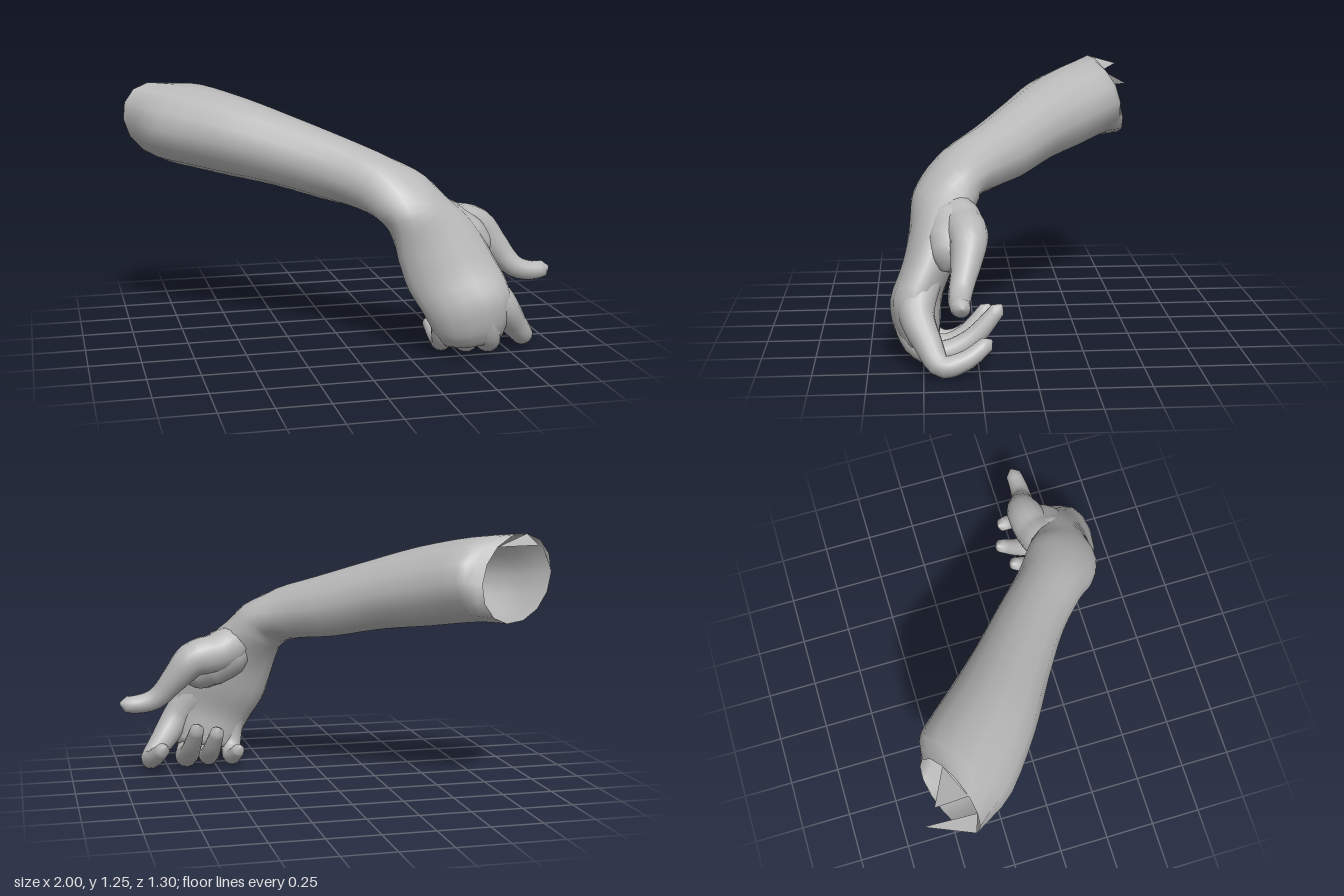
import * as THREE from 'three';

const V = (x, y, z) => new THREE.Vector3(x, y, z);
const SIDES = 14;

// Skin a list of oval cross-sections {c, u, v}; the far end is closed.
function loft(rings) {
  const pos = [], idx = [];
  for (const { c, u, v } of rings) {
    for (let i = 0; i < SIDES; i++) {
      const a = (i / SIDES) * Math.PI * 2, cs = Math.cos(a), sn = Math.sin(a);
      pos.push(c.x + u.x * cs + v.x * sn, c.y + u.y * cs + v.y * sn, c.z + u.z * cs + v.z * sn);
    }
  }
  for (let k = 0; k < rings.length - 1; k++) {
    for (let i = 0; i < SIDES; i++) {
      const j = (i + 1) % SIDES, a = k * SIDES, b = a + SIDES;
      idx.push(a + i, a + j, b + i, a + j, b + j, b + i);
    }
  }
  const end = rings[rings.length - 1].c, last = (rings.length - 1) * SIDES;
  pos.push(end.x, end.y, end.z);
  for (let i = 0; i < SIDES; i++) idx.push(last + i, last + ((i + 1) % SIDES), last + SIDES);
  const g = new THREE.BufferGeometry();
  g.setAttribute('position', new THREE.Float32BufferAttribute(pos, 3));
  g.setIndex(idx);
  g.computeVertexNormals();
  return g;
}

// Tapered finger along a curve, with a rounded tip.
function finger(points, radii) {
  const curve = new THREE.CatmullRomCurve3(points.map(p => V(...p)));
  const n = 26, frames = curve.computeFrenetFrames(n), len = curve.getLength();
  const tip = 1 - radii[radii.length - 1] / len;
  const rings = [];
  for (let k = 0; k <= n; k++) {
    const t = k / n, f = t * (radii.length - 1), i = Math.min(Math.floor(f), radii.length - 2);
    let r = THREE.MathUtils.lerp(radii[i], radii[i + 1], f - i);
    if (t > tip) r *= Math.sqrt(Math.max(0.04, 1 - ((t - tip) / (1 - tip)) ** 2));
    rings.push({
      c: curve.getPointAt(t),
      u: frames.normals[k].clone().multiplyScalar(r),
      v: frames.binormals[k].clone().multiplyScalar(r),
    });
  }
  return loft(rings);
}

// Cross-sections from the open end to the knuckles: centre, thumb-side axis, upper axis.
const SECTIONS = [
  [-0.80, 1.04, -0.50, 0.20, -0.02, -0.07, -0.03, 0.205, 0.06],
  [-0.67, 1.03, -0.385, 0.19, 0, -0.16, 0.02, 0.205, 0.02],
  [-0.46, 0.985, -0.205, 0.15, 0, -0.165, 0.02, 0.195, 0.03],
  [-0.25, 0.93, -0.045, 0.12, 0, -0.145, 0.03, 0.17, 0.03],
  [-0.03, 0.86, 0.12, 0.105, 0, -0.13, 0.04, 0.15, 0.04],
  [0.13, 0.81, 0.265, 0.105, 0.02, -0.125, 0.04, 0.125, 0.06],
  [0.235, 0.755, 0.355, 0.13, 0.05, -0.12, 0.045, 0.085, 0.085],
  [0.30, 0.685, 0.395, 0.145, 0.06, -0.085, 0.03, 0.045, 0.13],
  [0.38, 0.56, 0.435, 0.19, 0.08, -0.03, 0, 0.03, 0.12],
  [0.45, 0.40, 0.48, 0.21, 0.07, 0, 0, 0.02, 0.115],
  [0.515, 0.27, 0.53, 0.20, 0.07, 0.01, 0.01, 0, 0.12],
  [0.54, 0.165, 0.525, 0.18, 0.05, 0.01, 0.01, -0.02, 0.108],
  [0.55, 0.085, 0.505, 0.15, 0.02, 0.01, 0, -0.02, 0.08],
];

const FINGERS = {
  thumb: [[[0.33, 0.70, 0.37], [0.50, 0.61, 0.315], [0.63, 0.585, 0.29], [0.72, 0.49, 0.305],
    [0.82, 0.38, 0.335], [0.92, 0.355, 0.34], [1.0, 0.365, 0.33]], [0.07, 0.105, 0.10, 0.08, 0.06, 0.05, 0.04]],
  thumbMuscle: [[[0.33, 0.68, 0.39], [0.45, 0.60, 0.365], [0.56, 0.53, 0.37], [0.64, 0.44, 0.40]],
    [0.07, 0.13, 0.12, 0.07]],
  indexFinger: [[[0.57, 0.38, 0.49], [0.67, 0.26, 0.53], [0.765, 0.14, 0.48], [0.84, 0.055, 0.42],
    [0.835, 0.075, 0.32], [0.79, 0.155, 0.195]], [0.08, 0.085, 0.07, 0.053, 0.045, 0.035]],
  middleFinger: [[[0.55, 0.34, 0.52], [0.58, 0.21, 0.56], [0.62, 0.09, 0.52], [0.655, 0.055, 0.42],
    [0.65, 0.11, 0.29], [0.63, 0.27, 0.14]], [0.075, 0.08, 0.065, 0.055, 0.045, 0.033]],
  ringFinger: [[[0.46, 0.32, 0.51], [0.48, 0.19, 0.535], [0.52, 0.08, 0.50], [0.54, 0.055, 0.41],
    [0.54, 0.10, 0.31], [0.52, 0.24, 0.19]], [0.075, 0.07, 0.06, 0.05, 0.043, 0.033]],
  littleFinger: [[[0.38, 0.32, 0.48], [0.40, 0.20, 0.50], [0.41, 0.09, 0.475], [0.42, 0.05, 0.42],
    [0.42, 0.055, 0.35], [0.40, 0.12, 0.25]], [0.07, 0.065, 0.055, 0.046, 0.04, 0.03]],
};

export function createModel() {
  const group = new THREE.Group();
  const skin = new THREE.MeshStandardMaterial({ color: 0xb8b8b8, side: THREE.DoubleSide });
  skin.name = 'grey skin';
  const add = (name, geometry) => {
    const mesh = new THREE.Mesh(geometry, skin);
    mesh.name = name;
    group.add(mesh);
  };

  // Forearm, wrist and palm as one smooth skin
  const lane = o => new THREE.CatmullRomCurve3(SECTIONS.map(s => V(s[o], s[o + 1], s[o + 2])));
  const [centres, us, vs] = [0, 3, 6].map(lane);
  const steps = (SECTIONS.length - 1) * 3;
  const rings = [];
  for (let k = 0; k <= steps; k++) {
    rings.push({ c: centres.getPoint(k / steps), u: us.getPoint(k / steps), v: vs.getPoint(k / steps) });
  }
  add('forearmAndPalm', loft(rings));

  // Thumb, its muscle and the fingers
  for (const [name, [points, radii]] of Object.entries(FINGERS)) add(name, finger(points, radii));

  // Torn points on the open end: rim span (in sides) and tip
  const rim = a => {
    const { c, u, v } = rings[0], t = (a / SIDES) * Math.PI * 2;
    return c.clone().addScaledVector(u, Math.cos(t)).addScaledVector(v, Math.sin(t));
  };
  [[2, 4, [-0.87, 1.2, -0.58]], [5, 7, [-0.91, 1.08, -0.65]], [7, 8, [-0.89, 0.97, -0.63]]].forEach(([a, b, tip]) => {
    const g = new THREE.BufferGeometry().setFromPoints([rim(b), rim(a), V(...tip)]);
    g.computeVertexNormals();
    add('tornEdge', g);
  });
  return group;
}
